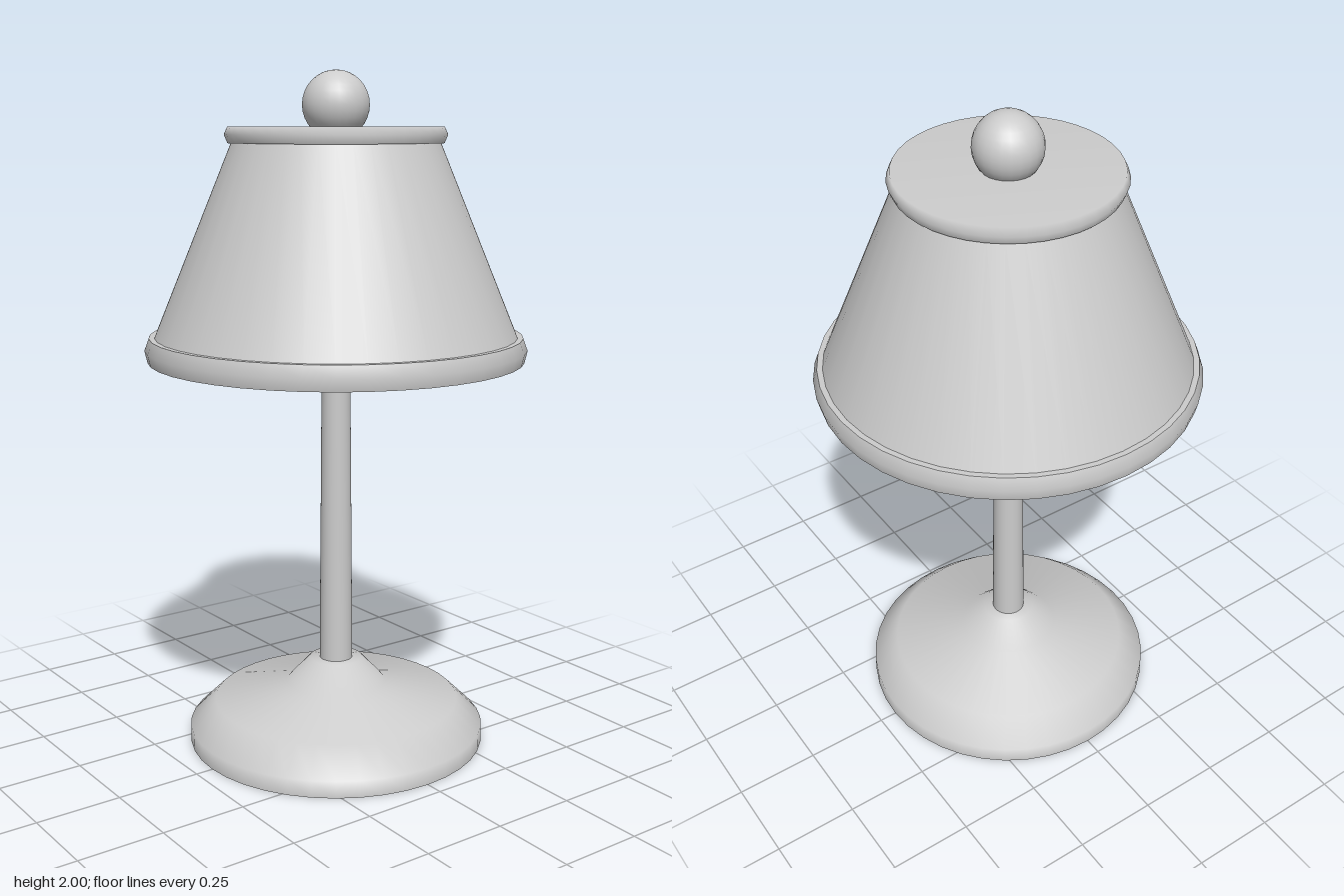
import * as THREE from 'three';

const SEGMENTS = 40;

export function createModel() {
  const lamp = new THREE.Group();
  lamp.name = 'tableLamp';
  const grey = new THREE.MeshStandardMaterial({ color: 0xcccccc });
  grey.name = 'light grey';

  // Each profile is [radius, height], bottom to top; separate profiles meet in a sharp edge.
  function turned(name, ...profiles) {
    const part = new THREE.Group();
    part.name = name;
    profiles.forEach((profile, i) => {
      const points = profile.map(([r, y]) => new THREE.Vector2(r, y));
      const mesh = new THREE.Mesh(new THREE.LatheGeometry(points, SEGMENTS), grey);
      mesh.name = `${name}Surface${i + 1}`;
      part.add(mesh);
    });
    lamp.add(part);
  }

  // Weighted foot with a flat underside
  turned('base',
    [[0, 0], [0.447, 0]],
    [[0.447, 0], [0.447, 0.05], [0.37, 0.125], [0.15, 0.175], [0.08, 0.25], [0, 0.25]]);

  // Slightly tapered post
  turned('stem', [[0.05, 0.24], [0.042, 1.18]]);

  // Closed underside and rounded lower band
  turned('lowerRim',
    [[0, 1.175], [0.55, 1.175]],
    [[0.55, 1.175], [0.558, 1.21], [0.545, 1.245]],
    [[0.545, 1.245], [0.52, 1.245]]);

  // Conical shade
  turned('shade', [[0.53, 1.242], [0.298, 1.802]]);

  // Cap with a softly rounded edge
  turned('topCap',
    [[0, 1.796], [0.31, 1.796]],
    [[0.31, 1.796], [0.32, 1.82], [0.31, 1.842], [0, 1.842]]);

  // Ball finial
  const finial = new THREE.Mesh(new THREE.SphereGeometry(0.097, 24, 16), grey);
  finial.name = 'finial';
  finial.position.y = 1.903;
  lamp.add(finial);

  return lamp;
}
